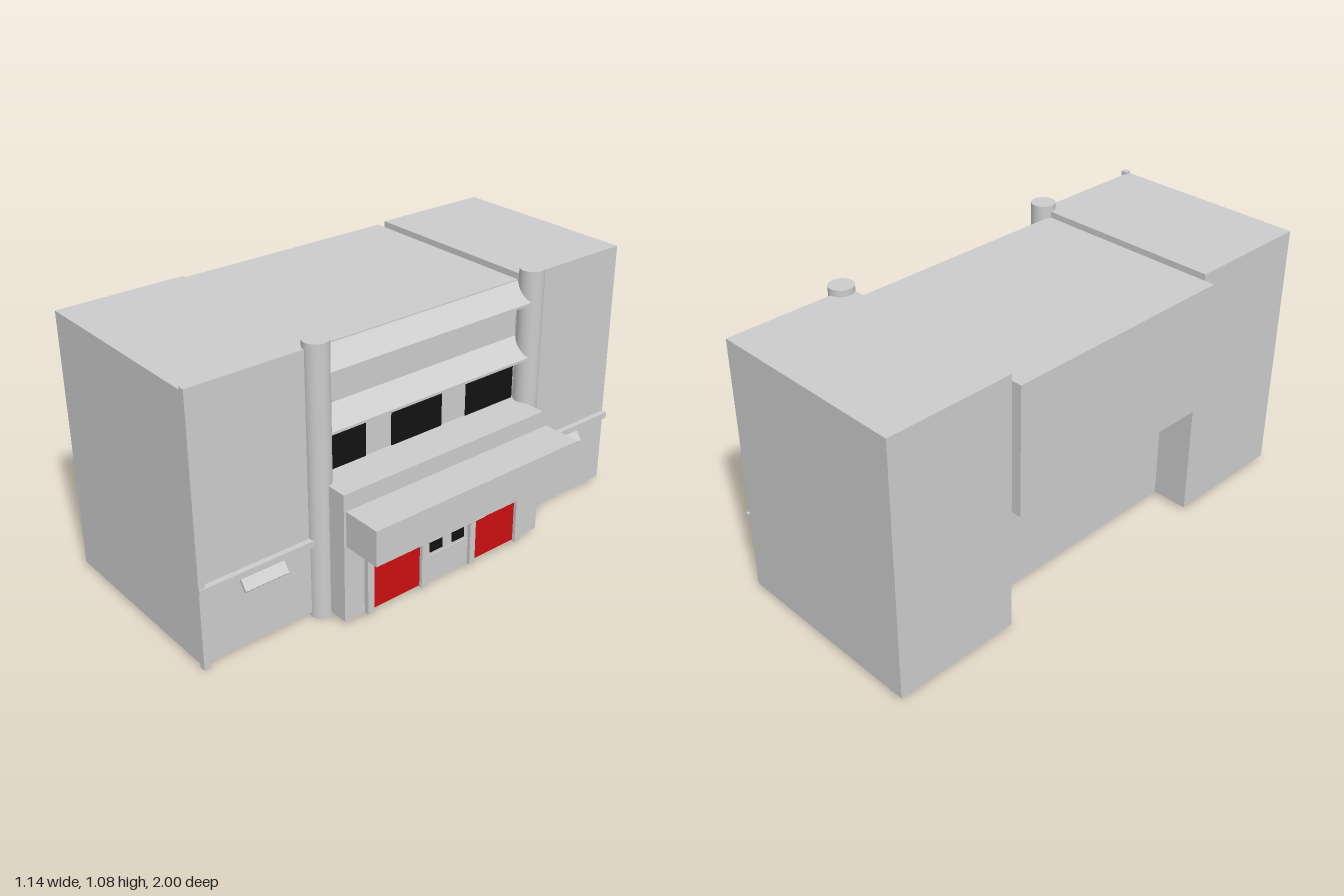
import * as THREE from 'three';

const mat = (color, side = THREE.FrontSide) => new THREE.MeshStandardMaterial({ color, side });

export function createModel() {
  const grey = mat(0xcccccc), pale = mat(0xf0f0f0), red = mat(0xcc0e10), black = mat(0x121212);
  const model = new THREE.Group();

  const add = (name, geometry, material = grey) => {
    const mesh = new THREE.Mesh(geometry, material);
    mesh.name = name;
    model.add(mesh);
    return mesh;
  };
  // Box given by its extents
  const box = (name, x0, x1, y0, y1, z0, z1, material) => {
    const mesh = add(name, new THREE.BoxGeometry(x1 - x0, y1 - y0, z1 - z0), material);
    mesh.position.set((x0 + x1) / 2, (y0 + y1) / 2, (z0 + z1) / 2);
    return mesh;
  };
  // Profile of [x, y] points swept from z0 to z1
  const sweep = (name, points, z0, z1, material) => {
    const shape = new THREE.Shape(points.map(([x, y]) => new THREE.Vector2(x, y)));
    const mesh = add(name, new THREE.ExtrudeGeometry(shape, { depth: z1 - z0, bevelEnabled: false }), material);
    mesh.position.z = z0;
    return mesh;
  };
  // Thin awning sloping outwards and down from (x, y)
  const awning = (name, x, y, run, z0, z1) => sweep(name, [
    [x, y], [x, y - 0.02], [x + run - 0.01, y - 0.02 - run], [x + run, y - 0.01 - run],
  ], z0, z1);

  // Central hall with the overhanging upper storey at the back
  sweep('centralHall', [
    [-0.38, 0.015], [0.24, 0.015], [0.24, 1.03], [-0.57, 1.03], [-0.57, 0.515], [-0.38, 0.515],
  ], -0.49, 0.48);

  // Side wings: inner edge and pillar centre differ slightly per side
  for (const [s, inner, pillarZ] of [[1, 0.48, 0.485], [-1, 0.49, 0.523]]) {
    const span = (name, x0, x1, y0, y1, a, b, m) =>
      box(name, x0, x1, y0, y1, Math.min(s * a, s * b), Math.max(s * a, s * b), m);
    span('wing', -0.53, 0.28, 0.015, 1.055, inner, 1);
    span('wingLedge', 0.28, 0.303, 0.305, 0.33, inner, 1);
    span('outerLowerPanel', 0.28, 0.285, 0.017, 0.305, 0.81, 0.998, pale);
    span('middleLowerPanel', 0.28, 0.285, 0.017, 0.305, 0.68, 0.81);
    span('innerLowerPanel', 0.28, 0.285, 0.017, 0.305, inner + 0.02, 0.68, pale);
    awning('wingAwning', 0.285, 0.305, 0.035, s > 0 ? 0.65 : -0.835, s > 0 ? 0.83 : -0.65);

    const pillar = add('pillar', new THREE.CylinderGeometry(0.048, 0.048, 1.08, 32));
    pillar.position.set(0.28, 0.54, s * pillarZ);
  }
  box('cornerStrip', 0.272, 0.298, 0, 1.065, 0.975, 1);

  // Sloping bands across the upper facade
  for (const [top, bottom] of [[1.03, 0.96], [0.807, 0.735]]) {
    sweep('facadeBand', [
      [0.235, top], [0.235, bottom - 0.01], [0.315, bottom - 0.01], [0.315, bottom],
    ], -0.49, 0.48);
  }

  // Upper windows
  for (const [z0, z1] of [[0.245, 0.46], [-0.117, 0.125], [-0.485, -0.24]]) {
    box('upperWindow', 0.23, 0.244, 0.54, 0.732, z0, z1, black);
  }

  // Entrance block and canopy
  box('entranceBlock', 0.24, 0.408, 0.02, 0.543, -0.49, 0.478);
  box('canopy', 0.408, 0.567, 0.333, 0.475, -0.515, 0.468);
  box('canopyFascia', 0.565, 0.57, 0.333, 0.475, -0.515, 0.468, pale);

  // Doorway posts and lintel
  for (const [z0, z1, top] of [
    [0.36, 0.388, 0.333], [0.105, 0.132, 0.305], [-0.137, -0.11, 0.305], [-0.382, -0.354, 0.333],
  ]) box('doorPost', 0.405, 0.428, 0.02, top, z0, z1);
  box('lintel', 0.405, 0.43, 0.305, 0.333, -0.354, 0.36);

  // Red side doors
  for (const [z0, z1] of [[0.132, 0.36], [-0.354, -0.137]]) {
    box('redDoor', 0.4, 0.414, 0.025, 0.305, z0, z1, red);
  }

  // Middle door with panel, two small windows and an awning
  box('middleDoor', 0.4, 0.412, 0.02, 0.232, -0.11, 0.105);
  box('doorLowerPanel', 0.405, 0.416, 0.022, 0.137, -0.108, 0.102);
  for (const z of [0.052, -0.058]) {
    box('doorWindow', 0.405, 0.416, 0.15, 0.22, z - 0.03, z + 0.03, black);
  }
  awning('doorAwning', 0.425, 0.297, 0.045, -0.14, 0.133);

  return model;
}
